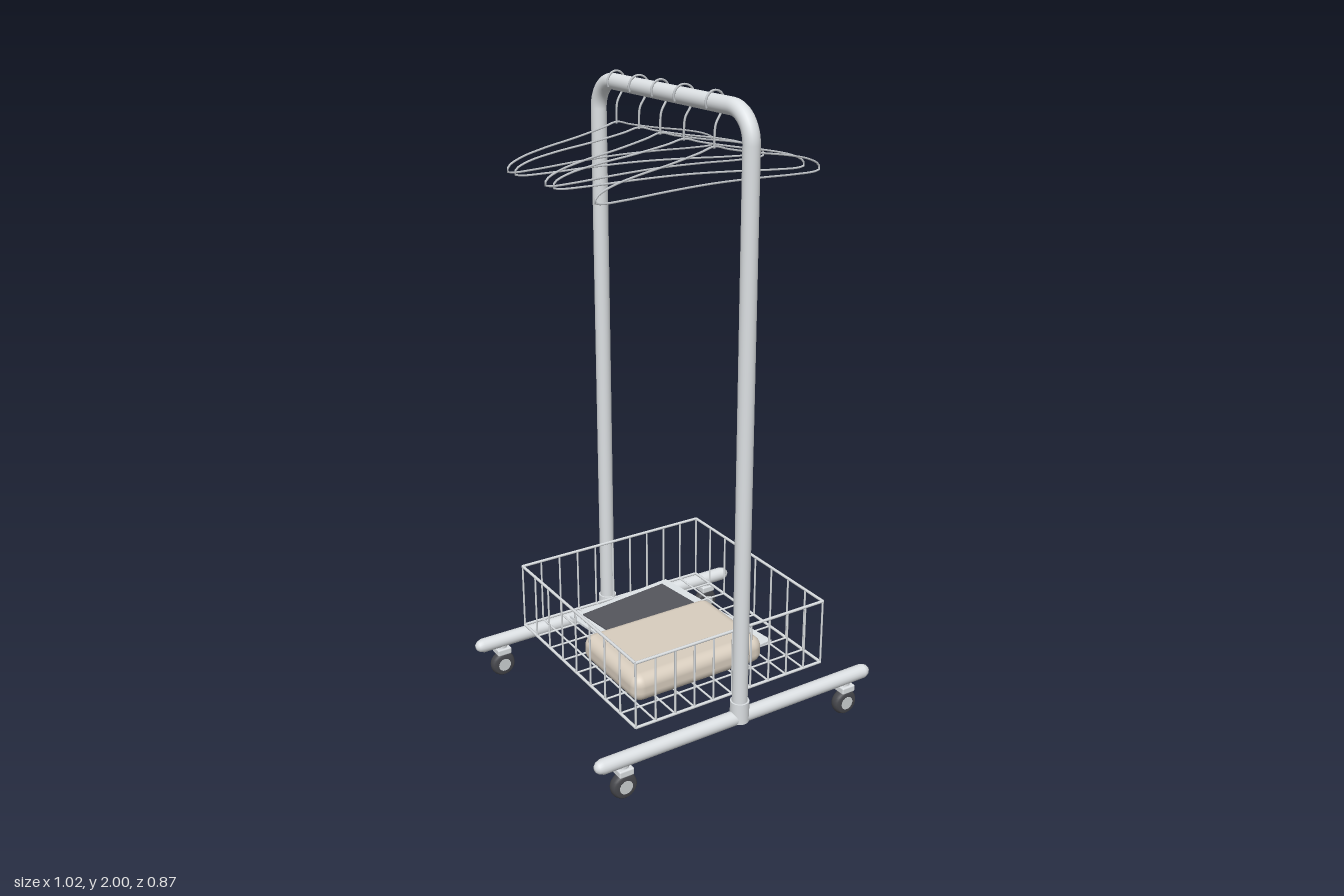
import * as THREE from 'three';
import { RoundedBoxGeometry } from 'three/addons/geometries/RoundedBoxGeometry.js';

const mat = (name, color) => Object.assign(new THREE.MeshStandardMaterial({ color }), { name });
const V = (x, y, z) => new THREE.Vector3(x, y, z);

export function createModel() {
  const steel = mat('brushed steel', 0xdce0e3);
  const wire = mat('basket wire', 0xdadee1);
  const hangerWire = mat('hanger wire', 0xc4c8cc);
  const rubber = mat('wheel rubber', 0x46474c);
  const hubGrey = mat('hub grey', 0xcdd1d3);
  const fabric = mat('beige fabric', 0xd9cebf);
  const paper = mat('pale paper', 0xdfe4e8);
  const ink = mat('dark print', 0x55565d);

  const root = new THREE.Group();
  root.name = 'garmentRack';

  const add = (parent, name, geo, material, x = 0, y = 0, z = 0) => {
    const m = new THREE.Mesh(geo, material);
    m.name = name;
    m.position.set(x, y, z);
    parent.add(m);
    return m;
  };
  // Round bar between two points
  const bar = (parent, name, a, b, r, material, sides = 8) => {
    const d = b.clone().sub(a);
    const m = add(parent, name, new THREE.CylinderGeometry(r, r, d.length(), sides), material);
    m.position.copy(a).add(b).multiplyScalar(0.5);
    m.quaternion.setFromUnitVectors(V(0, 1, 0), d.normalize());
    return m;
  };

  // Arched frame
  const Z = 0.403, railY = 1.963, R = 0.09, r = 0.0245;
  const frame = new THREE.Group();
  frame.name = 'frame';
  root.add(frame);
  bar(frame, 'topRail', V(0, railY, -Z + R), V(0, railY, Z - R), r, steel, 24);
  for (const s of [1, -1]) {
    bar(frame, 'post', V(0, 0.13, s * Z), V(0, railY - R, s * Z), r, steel, 24);
    const bend = add(frame, 'bend', new THREE.TorusGeometry(R, r, 24, 12, Math.PI / 2), steel, 0, railY - R, s * (Z - R));
    bend.rotation.y = -s * Math.PI / 2;
    add(frame, 'sleeve', new THREE.CylinderGeometry(0.03, 0.03, 0.07, 24), steel, 0, 0.152, s * Z);

    // Foot tube with rounded ends
    const foot = [[0, -0.51], [0.01, -0.508], [0.018, -0.5], [0.0235, -0.485],
      [0.0235, 0.485], [0.018, 0.5], [0.01, 0.508], [0, 0.51]].map(p => new THREE.Vector2(...p));
    add(frame, 'footTube', new THREE.LatheGeometry(foot, 20), steel, 0, 0.13, s * Z).rotation.z = Math.PI / 2;

    // Casters
    for (const x of [-0.415, 0.415]) {
      const caster = new THREE.Group();
      caster.name = 'caster';
      caster.position.set(x, 0, s * Z);
      root.add(caster);
      add(caster, 'casterStem', new THREE.CylinderGeometry(0.018, 0.018, 0.03, 12), steel, 0, 0.108, 0);
      add(caster, 'casterFork', new RoundedBoxGeometry(0.05, 0.024, 0.05, 2, 0.005), steel, 0, 0.094, 0);
      const tread = [[0.02, -0.018], [0.034, -0.018], [0.039, -0.013], [0.042, -0.005], [0.042, 0.005],
        [0.039, 0.013], [0.034, 0.018], [0.02, 0.018]].map(p => new THREE.Vector2(...p));
      add(caster, 'wheel', new THREE.LatheGeometry(tread, 24), rubber, 0, 0.042, 0).rotation.x = Math.PI / 2;
      add(caster, 'wheelHub', new THREE.CylinderGeometry(0.022, 0.022, 0.038, 20), hubGrey, 0, 0.042, 0).rotation.x = Math.PI / 2;
    }
  }

  // Wire basket
  const basket = new THREE.Group();
  basket.name = 'basket';
  root.add(basket);
  const bx = 0.345, bz = 0.361, y0 = 0.188, y1 = 0.407;
  for (const y of [y0, y1]) {
    for (const s of [1, -1]) {
      bar(basket, 'rim', V(-bx, y, s * bz), V(bx, y, s * bz), 0.0048, wire);
      bar(basket, 'rim', V(s * bx, y, -bz), V(s * bx, y, bz), 0.0048, wire);
    }
  }
  for (let i = 0; i <= 10; i++) {
    const x = -bx + (2 * bx * i) / 10;
    bar(basket, 'floorWire', V(x, y0, -bz), V(x, y0, bz), 0.0033, wire);
    for (const s of [1, -1]) bar(basket, 'sideWire', V(x, y0, s * bz), V(x, y1, s * bz), 0.0033, wire);
  }
  for (let i = 0; i <= 8; i++) {
    const z = -bz + (2 * bz * i) / 8;
    bar(basket, 'floorWire', V(-bx, y0, z), V(bx, y0, z), 0.0033, wire);
    if (i > 0 && i < 8) for (const s of [1, -1]) bar(basket, 'sideWire', V(s * bx, y0, z), V(s * bx, y1, z), 0.0033, wire);
  }

  // Cushion
  add(root, 'cushion', new RoundedBoxGeometry(0.478, 0.09, 0.336, 5, 0.036), fabric, -0.06, 0.246, 0.117);

  // Printed sheet
  const sheet = new THREE.Group();
  sheet.name = 'printedSheet';
  sheet.position.set(0.041, 0.197, -0.064);
  sheet.rotation.y = 0.12;
  root.add(sheet);
  add(sheet, 'page', new THREE.BoxGeometry(0.42, 0.008, 0.55), paper);
  add(sheet, 'printBlock', new THREE.BoxGeometry(0.346, 0.004, 0.382), ink, 0, 0.006, -0.059);
  add(sheet, 'printBar', new THREE.BoxGeometry(0.24, 0.004, 0.025), ink, 0, 0.006, 0.208);

  // Hanger outline: one closed loop, mirrored about the neck
  const half = [[0.05, 1.833], [0.15, 1.813], [0.27, 1.793], [0.35, 1.774], [0.389, 1.755],
    [0.395, 1.74], [0.378, 1.735], [0.3, 1.735], [0.15, 1.741]];
  const loop = [V(0, 1.845, 0), ...half.map(([x, y]) => V(x, y, 0)), V(0, 1.744, 0),
    ...half.slice().reverse().map(([x, y]) => V(-x, y, 0))];
  const body = new THREE.TubeGeometry(new THREE.CatmullRomCurve3(loop, true), 128, 0.0032, 6, true);
  // Hook wrapping over the rail
  const hookPts = [V(0, 1.84, 0), V(0, 1.875, 0), V(0.004, 1.905, 0), V(0.02, 1.932, 0)];
  for (let a = -25; a <= 205; a += 23) {
    const t = (a * Math.PI) / 180;
    hookPts.push(V(0.032 * Math.cos(t), 1.964 + 0.032 * Math.sin(t), 0));
  }
  const hook = new THREE.TubeGeometry(new THREE.CatmullRomCurve3(hookPts), 48, 0.0034, 6);
  for (const [z, turn] of [[-0.295, 0.111], [-0.164, -0.096], [-0.046, 0.08], [0.079, -0.127], [0.231, 0.082]]) {
    const hanger = new THREE.Group();
    hanger.name = 'hanger';
    hanger.position.z = z;
    hanger.rotation.y = turn;
    root.add(hanger);
    add(hanger, 'hangerBody', body, hangerWire);
    add(hanger, 'hangerHook', hook, hangerWire);
  }
  return root;
}
